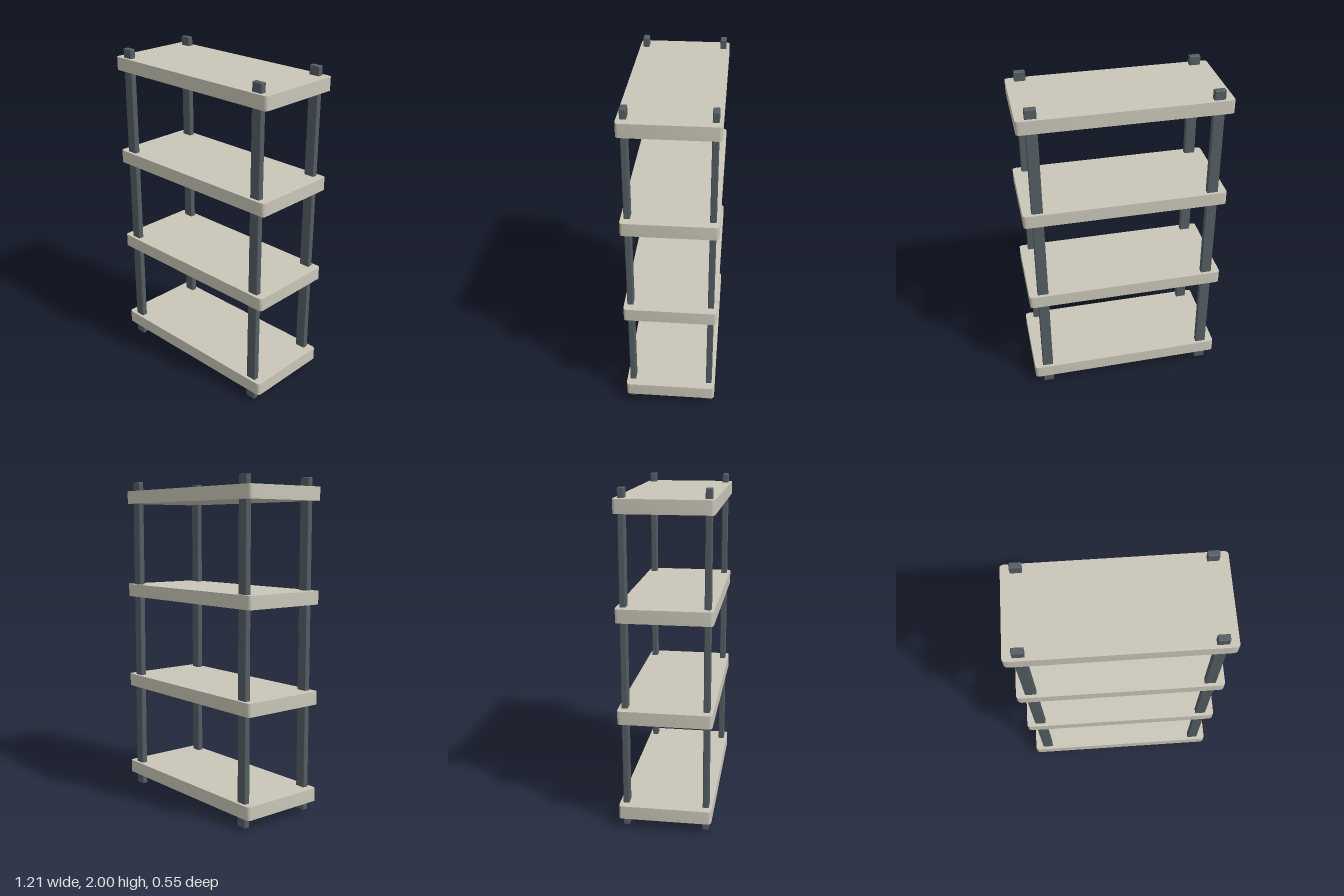
import * as THREE from 'three';
import { RoundedBoxGeometry } from 'three/addons/geometries/RoundedBoxGeometry.js';
import { toCreasedNormals } from 'three/addons/utils/BufferGeometryUtils.js';

// Slab lying flat, with softly rounded vertical corners
function slabGeometry(w, d, h, rx, rz) {
  const x = w / 2, z = d / 2;
  const s = new THREE.Shape();
  s.moveTo(-x + rx, -z);
  s.lineTo(x - rx, -z);
  s.quadraticCurveTo(x, -z, x, -z + rz);
  s.lineTo(x, z - rz);
  s.quadraticCurveTo(x, z, x - rx, z);
  s.lineTo(-x + rx, z);
  s.quadraticCurveTo(-x, z, -x, z - rz);
  s.lineTo(-x, -z + rz);
  s.quadraticCurveTo(-x, -z, -x + rx, -z);
  const g = new THREE.ExtrudeGeometry(s, { depth: h, bevelEnabled: false, curveSegments: 5 });
  g.translate(0, 0, -h / 2);
  g.rotateX(-Math.PI / 2);
  return toCreasedNormals(g, 0.6);
}

export function createModel() {
  const model = new THREE.Group();
  model.name = 'shelvingUnit';

  const shelfMaterial = new THREE.MeshStandardMaterial({ color: 0xc9c6b8 });
  shelfMaterial.name = 'warm grey shelf';
  const postMaterial = new THREE.MeshStandardMaterial({ color: 0x535d62 });
  postMaterial.name = 'slate post';

  // Four evenly spaced shelves
  const shelfGeometry = slabGeometry(1.21, 0.55, 0.08, 0.03, 0.018);
  for (let i = 0; i < 4; i++) {
    const shelf = new THREE.Mesh(shelfGeometry, shelfMaterial);
    shelf.name = `shelf${i + 1}`;
    shelf.position.y = 0.105 + i * 0.6;
    model.add(shelf);
  }

  // Four corner posts running through every shelf
  const postGeometry = new RoundedBoxGeometry(0.066, 2, 0.036, 2, 0.005);
  for (const [sx, side] of [[1, 'Left'], [-1, 'Right']]) {
    for (const [sz, end] of [[1, 'front'], [-1, 'back']]) {
      const post = new THREE.Mesh(postGeometry, postMaterial);
      post.name = `${end}${side}Post`;
      post.position.set(sx * 0.52, 1, sz * 0.238);
      model.add(post);
    }
  }

  return model;
}
